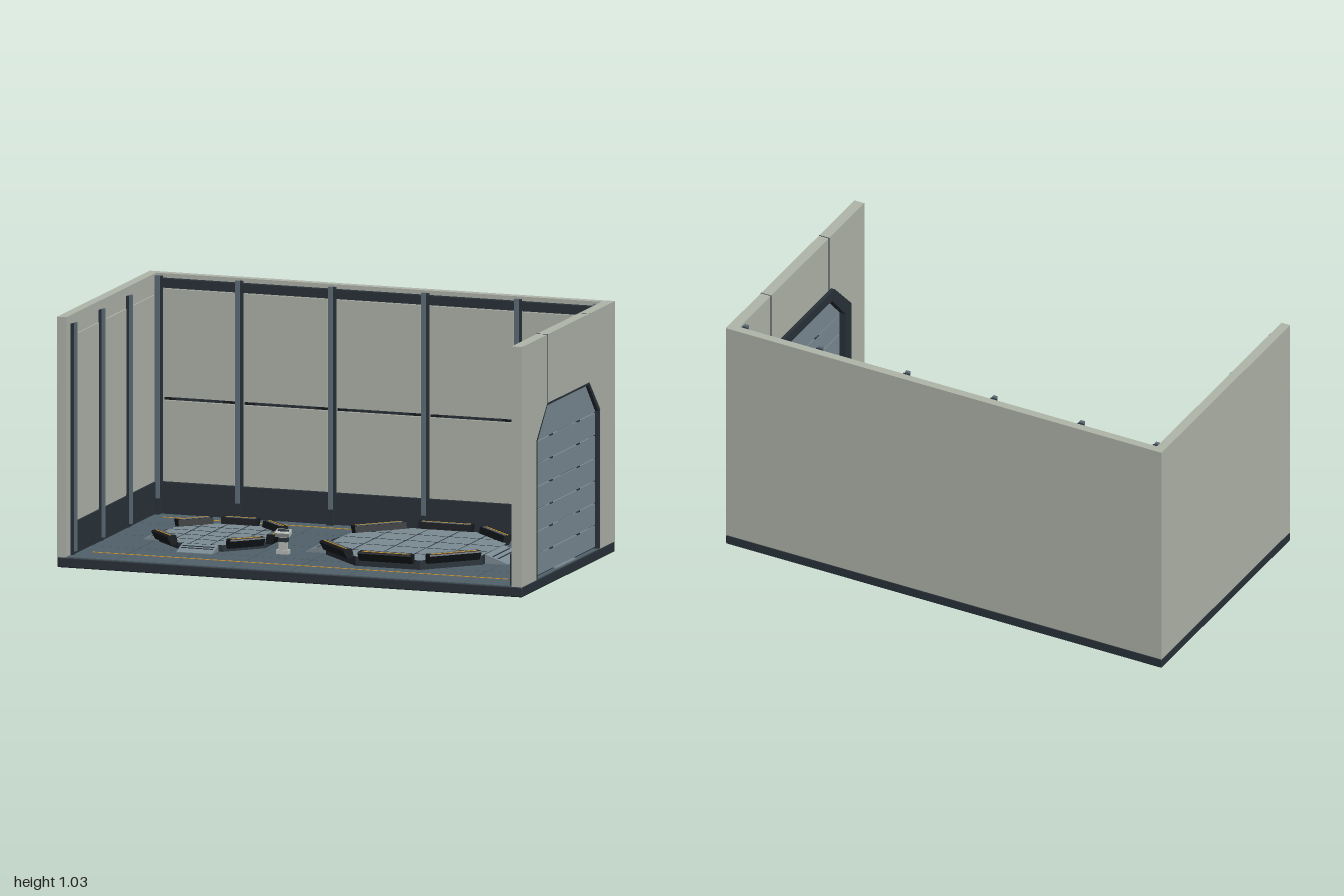
import * as THREE from 'three';
import { RoundedBoxGeometry } from 'three/addons/geometries/RoundedBoxGeometry.js';

const paint = (name, color) => {
  const m = new THREE.MeshStandardMaterial({ color });
  m.name = name;
  return m;
};

export function createModel() {
  const model = new THREE.Group();
  model.name = 'hangarBay';
  const wall = paint('warm grey wall', 0xb1b6ab);
  const dark = paint('dark trim', 0x29323a);
  const black = paint('black rubber', 0x171b1f);
  const floorGrey = paint('floor slate', 0x51616a);
  const steel = paint('pale steel', 0x7c8b94);
  const rib = paint('rib steel', 0x5f6e79);
  const yellow = paint('safety yellow', 0xd29a2e);
  const light = paint('light plastic', 0xb9bdb8);

  const add = (parent, name, geo, mat, x = 0, y = 0, z = 0) => {
    const m = new THREE.Mesh(geo, mat);
    m.name = name;
    m.position.set(x, y, z);
    parent.add(m);
    return m;
  };
  // Box given by its extents on each axis
  const span = (parent, name, mat, x0, x1, y0, y1, z0, z1) =>
    add(parent, name, new THREE.BoxGeometry(x1 - x0, y1 - y0, z1 - z0), mat,
      (x0 + x1) / 2, (y0 + y1) / 2, (z0 + z1) / 2);
  const group = (parent, name, x = 0, y = 0, z = 0) => {
    const g = new THREE.Group();
    g.name = name;
    g.position.set(x, y, z);
    parent.add(g);
    return g;
  };
  const poly = pts => pts.map(p => new THREE.Vector2(p[0], p[1]));
  const extrude = (shape, depth) => new THREE.ExtrudeGeometry(shape, { depth, bevelEnabled: false });

  // Base slab and floor tiles
  add(model, 'baseSlab', new RoundedBoxGeometry(2, 0.042, 1.1, 2, 0.005), dark, 0, 0.021, 0);
  const floor = group(model, 'floor');
  for (let i = 0; i < 8; i++) for (let j = 0; j < 4; j++) {
    const x = -1 + i * 0.25, z = -0.55 + j * 0.275, g = 0.002;
    span(floor, 'floorTile', floorGrey, x + g, x + 0.25 - g, 0.04, 0.045, z + g, z + 0.275 - g);
  }
  for (const z of [-0.42, 0.415])
    span(floor, 'guideLine', yellow, -0.895, 0.89, 0.045, 0.047, z - 0.003, z + 0.003);
  for (let i = 0; i < 18; i++) {
    const dash = add(floor, 'hazardDash', new THREE.BoxGeometry(0.024, 0.002, 0.009), yellow,
      0.91, 0.046, -0.355 + i * 0.0412);
    dash.rotation.y = -0.6;
  }

  // Back wall with panels, slots, rails and ribs
  const back = group(model, 'backWall');
  span(back, 'backWallShell', wall, -1, 1, 0.042, 1.03, -0.55, -0.515);
  span(back, 'backSkirting', dark, -0.96, 0.955, 0.045, 0.175, -0.515, -0.497);
  span(back, 'backTopRail', dark, -0.96, 0.955, 0.975, 1.012, -0.515, -0.49);
  const ribX = [-0.945, -0.6, -0.2, 0.2, 0.6, 0.942];
  ribX.forEach((x, i) => {
    span(back, 'ribCore', dark, x - 0.014, x + 0.014, 0.045, 1.02, -0.515, -0.492);
    span(back, 'ribFace', rib, x - 0.009, x + 0.009, 0.09, 1.025, -0.492, -0.478);
    span(back, 'ribFoot', dark, x - 0.014, x + 0.014, 0.045, 0.11, -0.492, -0.472);
    if (i === 5) return;
    const a = x + 0.022, b = ribX[i + 1] - 0.022;
    span(back, 'lowerPanel', wall, a, b, 0.182, 0.51, -0.515, -0.505);
    span(back, 'upperPanel', wall, a, b, 0.524, 0.968, -0.515, -0.507);
    span(back, 'panelSlot', black, a, b, 0.512, 0.522, -0.515, -0.51);
    span(back, 'slotLip', dark, a + 0.05, b - 0.05, 0.514, 0.524, -0.512, -0.5);
  });

  // Left-hand wall in the front elevation, with slim posts
  const side = group(model, 'plainSideWall');
  span(side, 'sideWallShell', wall, -1, -0.96, 0.042, 1.03, -0.515, 0.55);
  span(side, 'sideSkirting', dark, -0.96, -0.951, 0.045, 0.175, -0.5, 0.5);
  const postZ = [-0.49, -0.165, 0.16, 0.49];
  postZ.forEach((z, i) => {
    if (i) {
      span(side, 'postCore', dark, -0.96, -0.947, 0.045, 0.995, z - 0.011, z + 0.011);
      span(side, 'postFace', rib, -0.947, -0.936, 0.06, 1, z - 0.008, z + 0.008);
      span(side, 'sidePanel', wall, -0.96, -0.954, 0.182, 0.945, postZ[i - 1] + 0.018, z - 0.018);
    }
  });

  // Gate wall: an arch with cut corners, extruded along x
  const arch = (w, shoulder, topW, top, y0 = 0.042) =>
    [[-w, y0], [-w, shoulder], [-topW, top], [topW, top], [w, shoulder], [w, y0]];
  const across = (parent, name, shape, mat, x0, x1) => {
    const m = add(parent, name, extrude(shape, x1 - x0), mat, x0, 0, 0);
    m.rotation.y = Math.PI / 2;
    return m;
  };
  const band = (outer, inner) => new THREE.Shape(poly([...outer, ...inner.slice().reverse()]));
  const gate = group(model, 'gateWall');
  const opening = arch(0.378, 0.616, 0.25, 0.748);
  const inner = arch(0.36, 0.61, 0.243, 0.738);
  const wallOutline = [[-0.55, 0.042], [-0.55, 1.03], [0.55, 1.03], [0.55, 0.042]];
  across(gate, 'gateWallShell', band(wallOutline, opening), wall, 0.955, 1);
  across(gate, 'gateFrame', band(opening, inner), dark, 0.95, 0.998);
  across(gate, 'innerGateFrame', band(arch(0.41, 0.635, 0.268, 0.78), inner), dark, 0.938, 0.955);
  for (const s of [-1, 1]) {
    const z = s * 0.248;
    span(gate, 'wallSeam', dark, 0.954, 1.0008, 0.748, 1.0308, z - 0.0015, z + 0.0015);
    span(gate, 'gateSkirting', dark, 0.946, 0.955, 0.045, 0.175,
      s < 0 ? -0.5 : 0.41, s < 0 ? -0.41 : 0.545);
  }

  // Slatted gate
  const door = group(gate, 'slattedGate');
  across(door, 'gateCore', new THREE.Shape(poly(inner)), dark, 0.971, 0.977);
  const cuts = [0.05, 0.139, 0.232, 0.323, 0.416, 0.51, 0.604];
  cuts.slice(0, 6).forEach((y, i) => {
    span(door, 'gateSlat', steel, 0.965, 0.984, y + 0.002, cuts[i + 1] - 0.002, -0.357, 0.357);
    for (const z of [-0.16, 0.16])
      span(door, 'slatHinge', dark, 0.963, 0.986, cuts[i + 1] - 0.004, cuts[i + 1] + 0.002, z - 0.016, z + 0.016);
  });
  across(door, 'topSlat', new THREE.Shape(poly(arch(0.359, 0.61, 0.243, 0.737, 0.606))), steel, 0.965, 0.984);
  span(door, 'gateSill', steel, 0.965, 0.992, 0.044, 0.049, -0.115, 0.115);

  // Octagonal landing pads with bumpers and ramps
  const pad = (name, cx, a, top, bumperLen, rampSides, rampLen, rampW) => {
    const g = group(model, name, cx, 0, 0);
    const r = a / Math.cos(Math.PI / 8), h = top - 0.042;
    const deck = add(g, 'padDeck', new THREE.CylinderGeometry(r, r, h, 8).toNonIndexed(),
      [dark, steel, dark], 0, 0.042 + h / 2, 0);
    deck.geometry.computeVertexNormals();
    deck.rotation.y = Math.PI / 8;
    // Deck seams, clipped to the octagon
    for (const k of [-1.5, -0.5, 0.5, 1.5]) {
      const d = k * a * 0.4, half = Math.min(a, a * Math.SQRT2 - Math.abs(d)) - 0.004;
      span(g, 'deckSeam', dark, d - 0.0015, d + 0.0015, top, top + 0.001, -half, half);
      span(g, 'deckSeam', dark, -half, half, top, top + 0.001, d - 0.0015, d + 0.0015);
    }
    for (let i = 0; i < 8; i++) {
      const edge = group(g, rampSides.includes(i) ? 'ramp' : 'bumper');
      edge.rotation.y = i * Math.PI / 4;
      if (rampSides.includes(i)) {
        const wedge = new THREE.Shape(poly([[a - 0.004, 0.044], [a + rampLen, 0.044],
          [a + rampLen, 0.048], [a - 0.004, top]]));
        add(edge, 'rampWedge', extrude(wedge, rampW), steel, 0, 0, -rampW / 2);
        for (const t of [0.3, 0.52]) {
          const tread = add(edge, 'rampTread', new THREE.BoxGeometry(0.004, 0.003, rampW * 0.88), dark,
            a + rampLen * t, top + (0.048 - top) * t, 0);
          tread.rotation.z = -Math.atan2(top - 0.048, rampLen);
        }
      } else {
        const y = top + 0.026;
        const profile = new THREE.Shape(poly([[a - 0.006, top - 0.012], [a + 0.024, top - 0.012],
          [a + 0.042, y - 0.006], [a + 0.038, y], [a + 0.002, y]]));
        add(edge, 'bumperBody', extrude(profile, bumperLen), black, 0, 0, -bumperLen / 2);
        const l = bumperLen / 2 - 0.012;
        span(edge, 'bumperCap', rib, a + 0.007, a + 0.016, y, y + 0.002, -l, l);
        span(edge, 'bumperStripe', yellow, a + 0.021, a + 0.027, y, y + 0.002, -l, l);
      }
    }
  };
  pad('smallPad', -0.5, 0.228, 0.072, 0.155, [4, 6], 0.075, 0.155);
  pad('largePad', 0.345, 0.337, 0.084, 0.23, [0, 4], 0.098, 0.225);

  // Control console between the pads
  const console_ = group(model, 'console', -0.16, 0, 0.183);
  span(console_, 'consoleFoot', light, -0.026, 0.026, 0.045, 0.062, -0.016, 0.016);
  span(console_, 'consoleColumn', light, -0.017, 0.017, 0.062, 0.122, -0.011, 0.011);
  span(console_, 'consoleBand', dark, -0.019, 0.019, 0.095, 0.112, -0.013, 0.013);
  const head = group(console_, 'consoleHead', 0, 0.13, 0);
  head.rotation.x = 0.4;
  span(head, 'headCase', light, -0.031, 0.031, -0.009, 0.009, -0.018, 0.018);
  span(head, 'screen', dark, -0.024, 0.024, 0.009, 0.011, -0.012, 0.002);

  return model;
}
